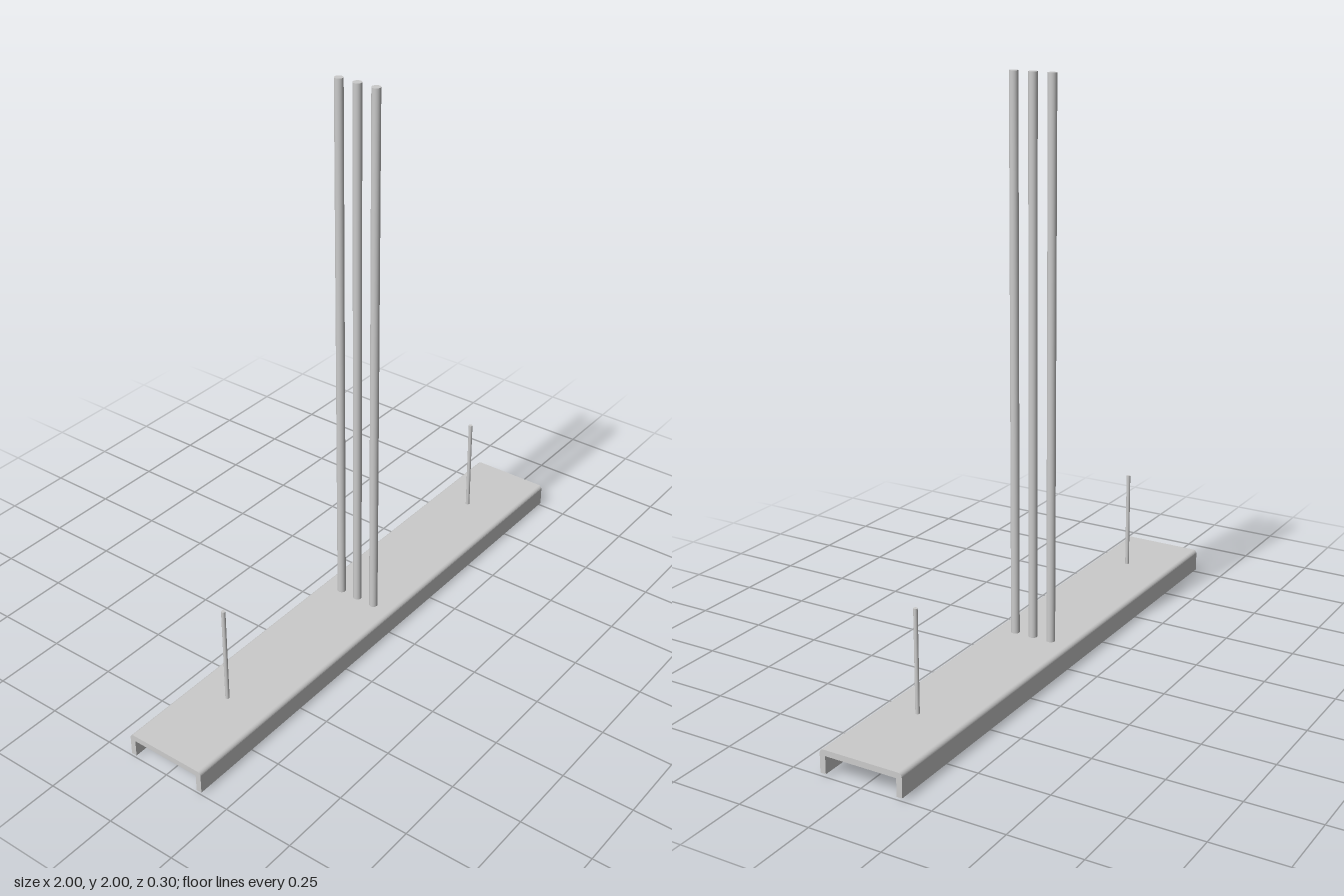
import * as THREE from 'three';

export function createModel() {
  const model = new THREE.Group();
  const material = new THREE.MeshStandardMaterial({ color: 0xcccccc });

  const add = (name, geometry, x = 0, y = 0, z = 0) => {
    const mesh = new THREE.Mesh(geometry, material);
    mesh.name = name;
    mesh.position.set(x, y, z);
    model.add(mesh);
  };

  // Vertical round bar running from y0 to y1
  const addRod = (name, radius, y0, y1, x, z) =>
    add(name, new THREE.CylinderGeometry(radius, radius, y1 - y0, 24), x, (y0 + y1) / 2, z);

  // Downward-facing channel with rounded upper edges, extruded along x
  const half = 0.148, bottom = 0.01, top = 0.09, wall = 0.02, r = 0.014;
  const section = new THREE.Shape();
  section.moveTo(-half, bottom);
  section.lineTo(-half + wall, bottom);
  section.lineTo(-half + wall, top - wall);
  section.lineTo(half - wall, top - wall);
  section.lineTo(half - wall, bottom);
  section.lineTo(half, bottom);
  section.lineTo(half, top - r);
  section.absarc(half - r, top - r, r, 0, Math.PI / 2, false);
  section.lineTo(-half + r, top);
  section.absarc(-half + r, top - r, r, Math.PI / 2, Math.PI, false);
  section.closePath();
  const channel = new THREE.ExtrudeGeometry(section, { depth: 2, bevelEnabled: false, curveSegments: 6 });
  channel.translate(0, 0, -1).rotateY(Math.PI / 2);
  add('channel', channel);

  // Three tall rods passing through the channel
  for (const z of [-0.07, 0, 0.07]) addRod('tallRod', 0.015, 0, 2, 0, z);

  // Thin pins floating just above the channel near its ends
  for (const side of [-1, 1]) addRod(side > 0 ? 'leftPin' : 'rightPin', 0.007, 0.11, 0.46, side * 0.7, 0);

  return model;
}
